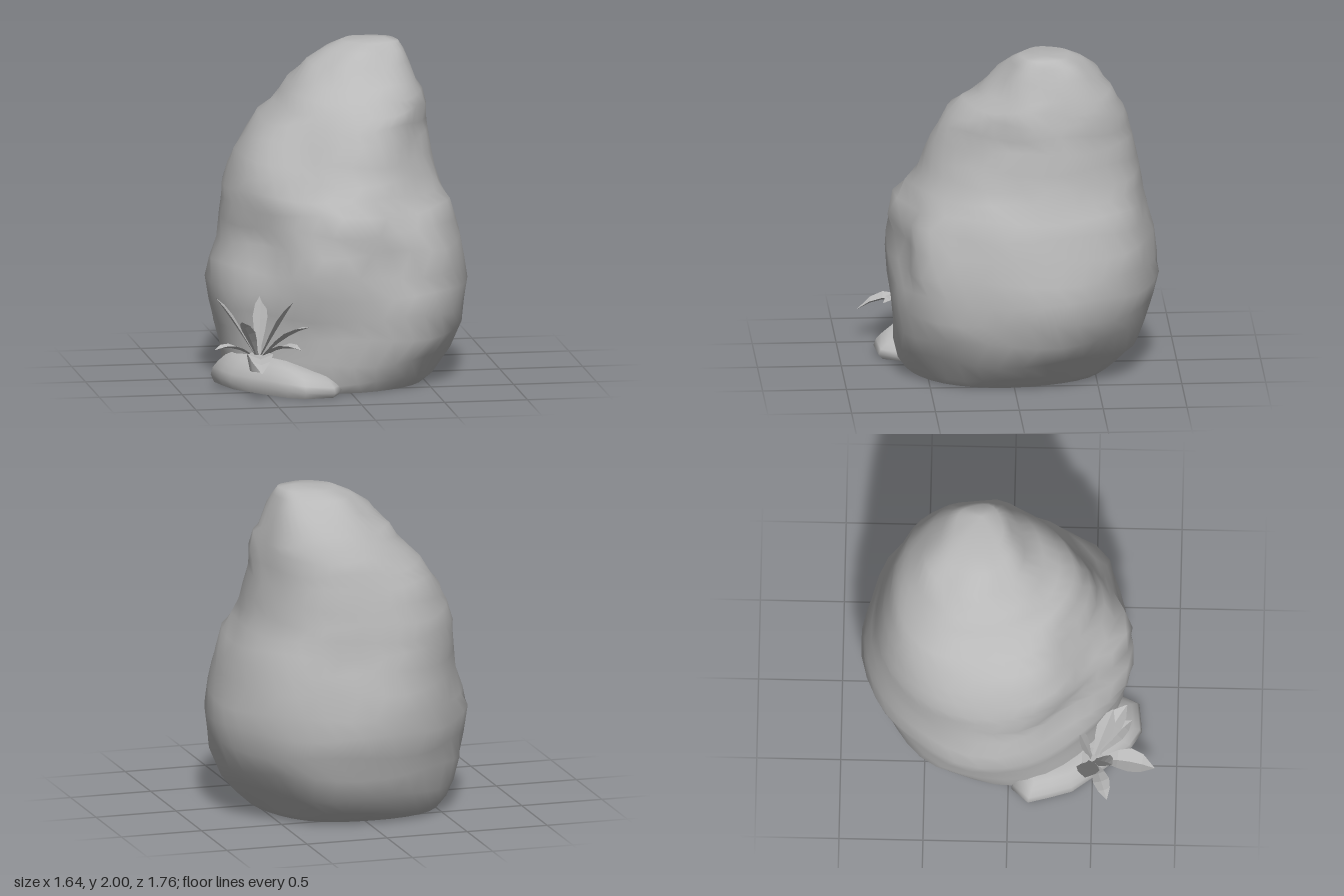
import * as THREE from 'three';

const stone = new THREE.MeshStandardMaterial({ color: 0xb8b8b8, side: THREE.DoubleSide });
stone.name = 'stone grey';

function makeGeometry(pos, idx) {
  const g = new THREE.BufferGeometry();
  g.setAttribute('position', new THREE.Float32BufferAttribute(pos, 3));
  g.setIndex(idx);
  g.computeVertexNormals();
  return g;
}

// Surface through closed rings of equal length, closed at the top by an apex
function ringSurface(rings, apex) {
  const n = rings[0].length, idx = [], last = (rings.length - 1) * n;
  for (let r = 0; r < rings.length - 1; r++) {
    for (let i = 0; i < n; i++) {
      const a = r * n + i, b = r * n + (i + 1) % n;
      idx.push(a, a + n, b, b, a + n, b + n);
    }
  }
  for (let i = 0; i < n; i++) idx.push(last + i, last + n, last + (i + 1) % n);
  return makeGeometry([...rings.flat(2), ...apex], idx);
}

// Flat underside that closes the lowest ring, facing down
function underside(ring, centre) {
  const n = ring.length, idx = [];
  for (let i = 0; i < n; i++) idx.push(n, i, (i + 1) % n);
  return makeGeometry([...ring.flat(), ...centre], idx);
}

// Boulder sections: y, xMin, xMax, zMin, zMax
const SECTIONS = [
  [0, -0.62, 0.52, -0.58, 0.62], [0.06, -0.66, 0.59, -0.67, 0.66], [0.18, -0.68, 0.68, -0.77, 0.69],
  [0.32, -0.71, 0.77, -0.81, 0.7], [0.45, -0.73, 0.79, -0.85, 0.71], [0.58, -0.75, 0.81, -0.88, 0.72],
  [0.7, -0.72, 0.79, -0.87, 0.71], [0.84, -0.68, 0.76, -0.86, 0.68], [0.96, -0.67, 0.73, -0.83, 0.64],
  [1.06, -0.66, 0.7, -0.81, 0.61], [1.15, -0.65, 0.65, -0.8, 0.57], [1.24, -0.61, 0.62, -0.78, 0.54],
  [1.34, -0.57, 0.6, -0.76, 0.5], [1.45, -0.5, 0.575, -0.73, 0.44], [1.54, -0.42, 0.56, -0.7, 0.38],
  [1.62, -0.33, 0.555, -0.67, 0.33], [1.69, -0.28, 0.54, -0.63, 0.26], [1.75, -0.23, 0.52, -0.59, 0.18],
  [1.86, -0.12, 0.48, -0.51, 0.08], [1.94, -0.02, 0.44, -0.42, 0.01], [1.985, 0.08, 0.41, -0.34, -0.05],
];
// Local swellings and hollows: x, y, z, radius, push
const BUMPS = [
  [-0.5, 0.35, 0.5, 0.3, -0.07], [-0.52, 0.85, 0.4, 0.27, -0.1], [0, 1.02, 0.62, 0.17, 0.09],
  [-0.2, 0.75, 0.65, 0.22, 0.04], [0.26, 0.72, 0.62, 0.13, -0.05], [0.48, 0.87, 0.48, 0.16, 0.05],
  [0.5, 0.4, 0.5, 0.25, 0.03], [0.12, 1.57, 0.36, 0.2, 0.06], [-0.28, 1.38, 0.4, 0.22, -0.05],
  [0.48, 1.4, 0.26, 0.2, -0.035], [0.53, 1.61, -0.1, 0.12, 0.03], [0.52, 1.65, -0.25, 0.15, -0.02],
  [-0.5, 1.3, 0.05, 0.2, 0.02], [-0.6, 0.6, -0.62, 0.32, -0.035], [0.58, 0.7, -0.62, 0.3, 0.012],
  [-0.45, 1.2, -0.5, 0.3, -0.01], [0.66, 1.15, 0, 0.1, -0.025], [0.35, 1.65, -0.5, 0.2, 0.01],
  [0.5, 0.2, -0.5, 0.2, -0.03], [-0.3, 1.6, -0.45, 0.2, 0.02],
];

function boulderRings(n = 36) {
  return SECTIONS.map(([y, x0, x1, z0, z1], r) => Array.from({ length: n }, (_, i) => {
    const a = -(i + (r % 2) / 2) / n * Math.PI * 2, c = Math.cos(a), s = Math.sin(a);
    const soften = v => Math.sign(v) * Math.abs(v) ** 0.92;
    const x = (x0 + x1) / 2 + soften(c) * (x1 - x0) / 2;
    const z = (z0 + z1) / 2 + soften(s) * (z1 - z0) / 2;
    let push = 0.009 * Math.sin(9 * x + 4 * y + 2) * Math.cos(8 * z - 3 * y)
      + 0.006 * Math.sin(5 * a + 6 * y);
    for (const [bx, by, bz, rad, p] of BUMPS) {
      push += p * Math.exp(-((x - bx) ** 2 + (y - by) ** 2 + (z - bz) ** 2) / (rad * rad));
    }
    const dy = y > 0.03 && y < 1.9 ? 0.015 * Math.sin(5 * a + r * 2) : 0;
    return [x + c * push, y + dy, z + s * push];
  }));
}

// Ledge at the foot: outline in x, z, shrinking upward toward the boulder
const LEDGE = [[-0.3, 0.79], [-0.4, 0.73], [-0.5, 0.62], [-0.6, 0.5], [-0.69, 0.38], [-0.73, 0.25],
  [-0.765, 0.12], [-0.68, 0.02], [-0.4, 0.05], [-0.1, 0.3], [-0.04, 0.6], [-0.12, 0.77]].reverse();
const LEDGE_RINGS = [[0, 0.95], [0.045, 1], [0.09, 0.97], [0.13, 0.9], [0.17, 0.8], [0.2, 0.65]];
function ledgeRings() {
  return LEDGE_RINGS.map(([y, k]) => LEDGE.map(([x, z]) =>
    [-0.35 + (x + 0.35) * k, y * Math.min(1, 0.55 - x), 0.3 + (z - 0.3) * k]));
}

// Folded lance-shaped leaf along a bent midrib
const BASE = new THREE.Vector3(-0.54, 0.19, 0.5);
const LEAF_WIDTHS = [0.3, 0.35, 0.75, 1, 0.75, 0.03];
function leafGeometry(tip, lift, width) {
  const end = new THREE.Vector3(...tip);
  const mid = BASE.clone().lerp(end, 0.5);
  mid.y += lift;
  const rib = new THREE.QuadraticBezierCurve3(BASE, mid, end);
  const side = new THREE.Vector3(end.z - BASE.z, 0, BASE.x - end.x).normalize();
  const pos = [], idx = [];
  LEAF_WIDTHS.forEach((w, i) => {
    const p = rib.getPoint(i / (LEAF_WIDTHS.length - 1)), h = w * width / 2;
    const l = p.clone().addScaledVector(side, h), q = p.clone().addScaledVector(side, -h);
    pos.push(l.x, l.y + h * 0.4, l.z, p.x, p.y, p.z, q.x, q.y + h * 0.4, q.z);
    if (i) {
      for (const k of [0, 1]) {
        const a = (i - 1) * 3 + k;
        idx.push(a, a + 3, a + 1, a + 1, a + 3, a + 4);
      }
    }
  });
  const flat = makeGeometry(pos, idx).toNonIndexed();
  flat.computeVertexNormals();
  return flat;
}

export function createModel() {
  const model = new THREE.Group();
  model.name = 'boulderWithPlant';
  const add = (parent, name, geometry) => {
    const mesh = new THREE.Mesh(geometry, stone);
    mesh.name = name;
    parent.add(mesh);
    return mesh;
  };

  // Boulder
  const rings = boulderRings();
  add(model, 'boulder', ringSurface(rings, [0.33, 2, -0.18]));
  add(model, 'boulderUnderside', underside(rings[0], [0, 0, 0]));

  // Ledge
  const ledge = ledgeRings();
  add(model, 'ledge', ringSurface(ledge, [-0.35, 0.2, 0.3]));
  add(model, 'ledgeUnderside', underside(ledge[0], [-0.35, 0, 0.3]));

  // Plant: tip, upward bend, width
  const plant = new THREE.Group();
  plant.name = 'plant';
  model.add(plant);
  const leaves = [
    [[-0.79, 0.57, 0.46], 0.02, 0.14], [[-0.82, 0.28, 0.59], 0.08, 0.1], [[-0.27, 0.42, 0.7], 0.06, 0.12],
    [[-0.35, 0.56, 0.62], 0.02, 0.11], [[-0.51, 0.58, 0.42], 0.02, 0.09], [[-0.58, 0.18, 0.87], 0.12, 0.15],
    [[-0.32, 0.29, 0.73], 0.08, 0.11], [[-0.66, 0.45, 0.62], 0.04, 0.1],
  ];
  leaves.forEach(([tip, lift, w], i) => add(plant, 'leaf' + (i + 1), leafGeometry(tip, lift, w)));
  const crown = add(plant, 'plantCrown', new THREE.CylinderGeometry(0.07, 0.05, 0.1, 7));
  crown.position.set(BASE.x, 0.18, BASE.z);
  return model;
}
